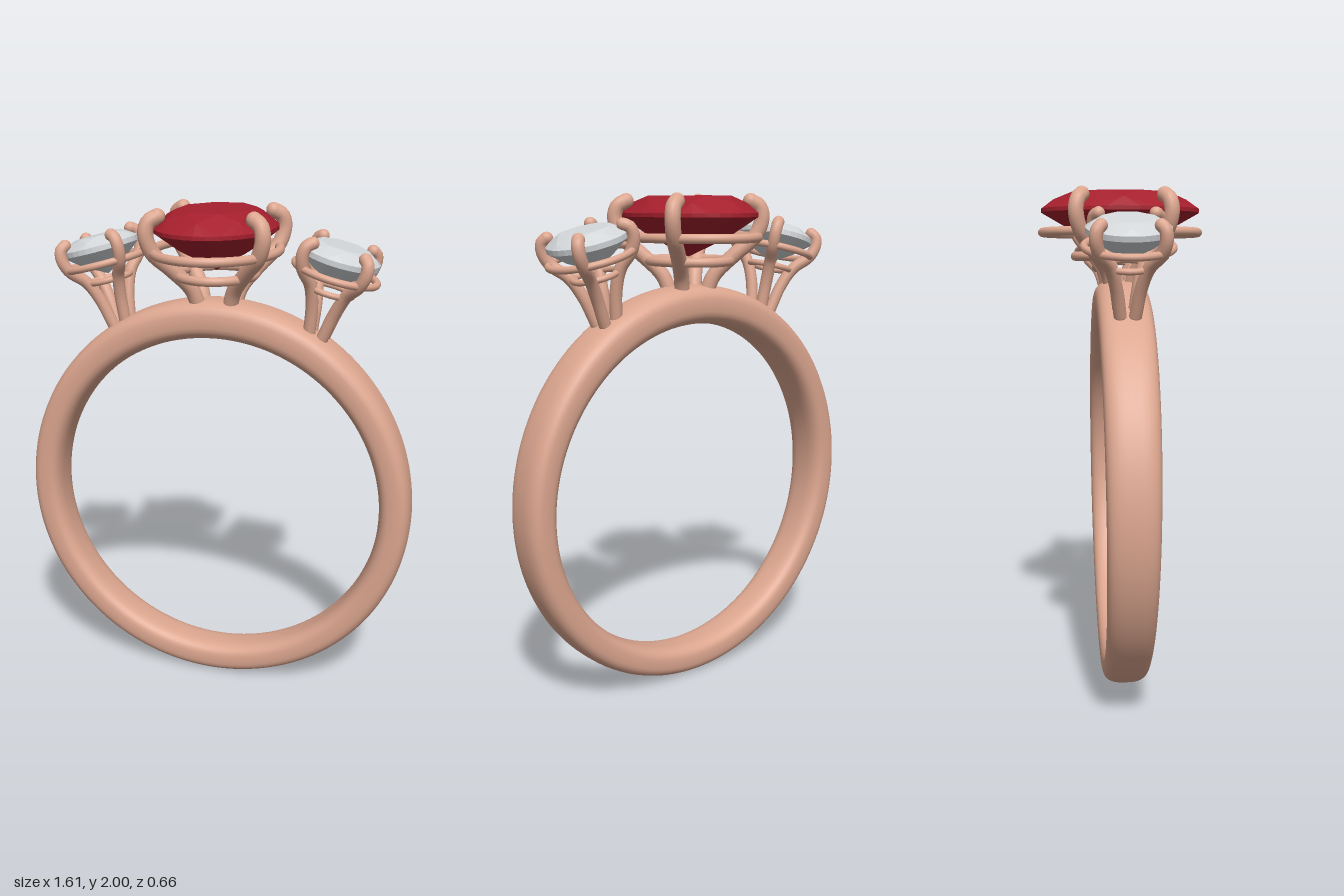
import * as THREE from 'three';
import { mergeVertices } from 'three/addons/utils/BufferGeometryUtils.js';
import { ConvexGeometry } from 'three/addons/geometries/ConvexGeometry.js';

const mat = (name, color, flatShading = false) => {
  const m = new THREE.MeshStandardMaterial({ color, flatShading });
  m.name = name;
  return m;
};

export function createModel() {
  const gold = mat('roseGold', 0xdca68f);
  const red = mat('redStone', 0xa51f2d, true);
  const clear = mat('clearStone', 0xd2d5d8, true);

  const add = (parent, name, geometry, material) => {
    const mesh = new THREE.Mesh(geometry, material);
    mesh.name = name;
    parent.add(mesh);
    return mesh;
  };

  // Band: rounded-square section, thicker and wider towards the top
  const bandGeometry = () => {
    const g = new THREE.TorusGeometry(1, 0.5, 32, 160);
    const p = g.attributes.position, uv = g.attributes.uv;
    const soft = (v) => Math.sign(v) * Math.pow(Math.abs(v), 0.7);
    const inner = 0.68;
    for (let i = 0; i < p.count; i++) {
      const a = uv.getX(i) * Math.PI * 2, b = uv.getY(i) * Math.PI * 2;
      const s = Math.sin(a);
      const outer = 0.806 + 0.028 * Math.max(0, s) ** 2;
      const r = (inner + outer) / 2 + soft(Math.cos(b)) * (outer - inner) / 2;
      p.setXYZ(i, r * Math.cos(a), 0.806 + r * s, soft(Math.sin(b)) * (0.095 + 0.01 * s));
    }
    g.deleteAttribute('uv');
    g.deleteAttribute('normal');
    const welded = mergeVertices(g, 1e-5);
    welded.computeVertexNormals();
    return welded;
  };

  // Brilliant-cut stone with half sizes rx, rz and heights of its levels
  const gemGeometry = (rx, rz, { table, girdleTop, girdleBottom, culet }) => {
    const points = [];
    const ring = (n, scale, y, offset) => {
      for (let i = 0; i < n; i++) {
        const a = (i + offset) / n * Math.PI * 2;
        points.push(new THREE.Vector3(rx * scale * Math.cos(a), y, rz * scale * Math.sin(a)));
      }
    };
    const mix = THREE.MathUtils.lerp;
    ring(8, 0.64, table, 0.5);
    ring(8, 0.84, mix(girdleTop, table, 0.58), 0);
    ring(32, 1, girdleTop, 0);
    ring(32, 1, girdleBottom, 0);
    ring(8, 0.6, mix(girdleBottom, culet, 0.5), 0.5);
    points.push(new THREE.Vector3(0, culet, 0));
    return new ConvexGeometry(points);
  };

  // Oval wire rail
  const addRail = (parent, name, rx, rz, y, radius) => {
    const pts = [];
    for (let i = 0; i < 32; i++) {
      const a = i / 32 * Math.PI * 2;
      pts.push(new THREE.Vector3(rx * Math.cos(a), y, rz * Math.sin(a)));
    }
    const curve = new THREE.CatmullRomCurve3(pts, true);
    add(parent, name, new THREE.TubeGeometry(curve, 80, radius, 12, true), gold);
  };

  // Four mirrored prongs with rounded ends
  const addProngs = (parent, path, radius) => {
    for (const sx of [-1, 1]) for (const sz of [-1, 1]) {
      const pts = path.map(([x, y, z]) => new THREE.Vector3(x * sx, y, z * sz));
      const prong = new THREE.Group();
      prong.name = 'prong';
      add(prong, 'prongWire', new THREE.TubeGeometry(new THREE.CatmullRomCurve3(pts), 32, radius, 14), gold);
      for (const end of [pts[0], pts[pts.length - 1]]) {
        add(prong, 'prongEnd', new THREE.SphereGeometry(radius, 14, 10), gold).position.copy(end);
      }
      parent.add(prong);
    }
  };

  const ring = new THREE.Group();
  ring.name = 'threeStoneRing';
  add(ring, 'band', bandGeometry(), gold);

  // Centre setting
  const centre = new THREE.Group();
  centre.name = 'centreSetting';
  add(centre, 'centreStone', gemGeometry(0.235, 0.315,
    { table: 1.985, girdleTop: 1.92, girdleBottom: 1.905, culet: 1.75 }), red);
  addRail(centre, 'upperRail', 0.24, 0.31, 1.828, 0.018);
  addRail(centre, 'lowerRail', 0.15, 0.18, 1.735, 0.018);
  addProngs(centre, [[0.06, 1.6, 0.035], [0.085, 1.68, 0.06], [0.145, 1.76, 0.115],
    [0.205, 1.83, 0.165], [0.225, 1.9, 0.182], [0.215, 1.945, 0.175], [0.185, 1.965, 0.158]], 0.03);
  ring.add(centre);

  // Side settings, tilted outwards
  for (const side of [-1, 1]) {
    const setting = new THREE.Group();
    setting.name = side > 0 ? 'leftSetting' : 'rightSetting';
    add(setting, 'sideStone', gemGeometry(0.152, 0.156,
      { table: 0.105, girdleTop: 0.07, girdleBottom: 0.05, culet: -0.05 }), clear);
    addRail(setting, 'upperRail', 0.16, 0.16, 0, 0.014);
    addRail(setting, 'lowerRail', 0.085, 0.085, -0.07, 0.012);
    addProngs(setting, [[0.027, -0.25, 0.028], [0.045, -0.14, 0.045], [0.07, -0.06, 0.07],
      [0.11, 0, 0.11], [0.122, 0.05, 0.122], [0.116, 0.085, 0.118], [0.1, 0.098, 0.104]], 0.024);
    setting.position.set(side * 0.465, 1.762, 0);
    setting.rotation.z = -side * 0.26;
    ring.add(setting);
  }
  return ring;
}
